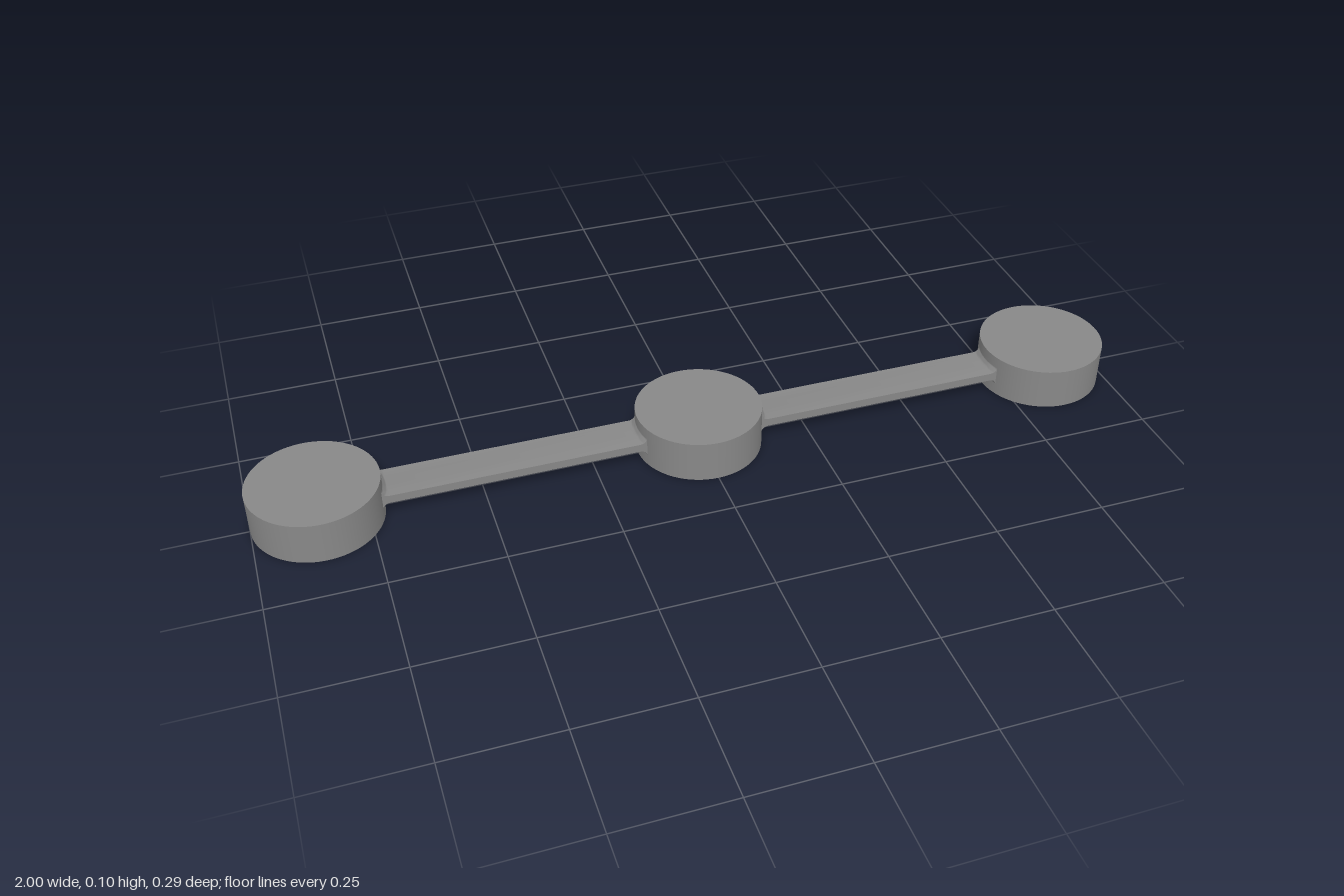
import * as THREE from 'three';
import { toCreasedNormals } from 'three/addons/utils/BufferGeometryUtils.js';

const R = 0.143;        // disc radius
const H = 0.097;        // disc height
const SPACING = 0.857;  // distance between disc centres
const HALF_WIDTH = 0.047;
const HALF_THICK = 0.0095;
const FILLET = 0.015;   // flare where a bar meets a disc

// Half thickness of a bar at distance d outside the disc wall
function halfThickness(d) {
  const k = Math.max(0, FILLET - Math.max(0, d));
  return HALF_THICK + FILLET - Math.sqrt(FILLET * FILLET - k * k);
}

// Flat bar whose ends follow the round disc walls and flare into them
function barGeometry() {
  const steps = 8, nx = 2 * steps + 1;
  const geo = new THREE.BoxGeometry(nx, 2, 2 * HALF_WIDTH, nx, 1, 10);
  const p = geo.attributes.position;
  for (let i = 0; i < p.count; i++) {
    const col = Math.round(p.getX(i) + nx / 2);
    const fromLeft = col <= steps;
    const step = fromLeft ? col : nx - col;
    const d = FILLET * (1 - Math.cos((step / steps) * Math.PI / 2));
    const z = p.getZ(i);
    const reach = Math.sqrt((R + d) ** 2 - z * z) - 0.0005;
    p.setXYZ(i, fromLeft ? reach : SPACING - reach, H / 2 + Math.sign(p.getY(i)) * halfThickness(d), z);
  }
  return toCreasedNormals(geo, 0.6);
}

export function createModel() {
  const model = new THREE.Group();
  model.name = 'threeDiscBar';
  const grey = new THREE.MeshStandardMaterial({ color: 0x888888 });
  grey.name = 'grey';

  // Three equal discs in a row
  const discGeo = new THREE.CylinderGeometry(R, R, H, 72);
  ['rightDisc', 'centreDisc', 'leftDisc'].forEach((name, i) => {
    const disc = new THREE.Mesh(discGeo, grey);
    disc.name = name;
    disc.position.set((i - 1) * SPACING, H / 2, 0);
    model.add(disc);
  });

  // Connecting bars
  const barGeo = barGeometry();
  ['rightBar', 'leftBar'].forEach((name, i) => {
    const bar = new THREE.Mesh(barGeo, grey);
    bar.name = name;
    bar.position.x = (i - 1) * SPACING;
    model.add(bar);
  });
  return model;
}
